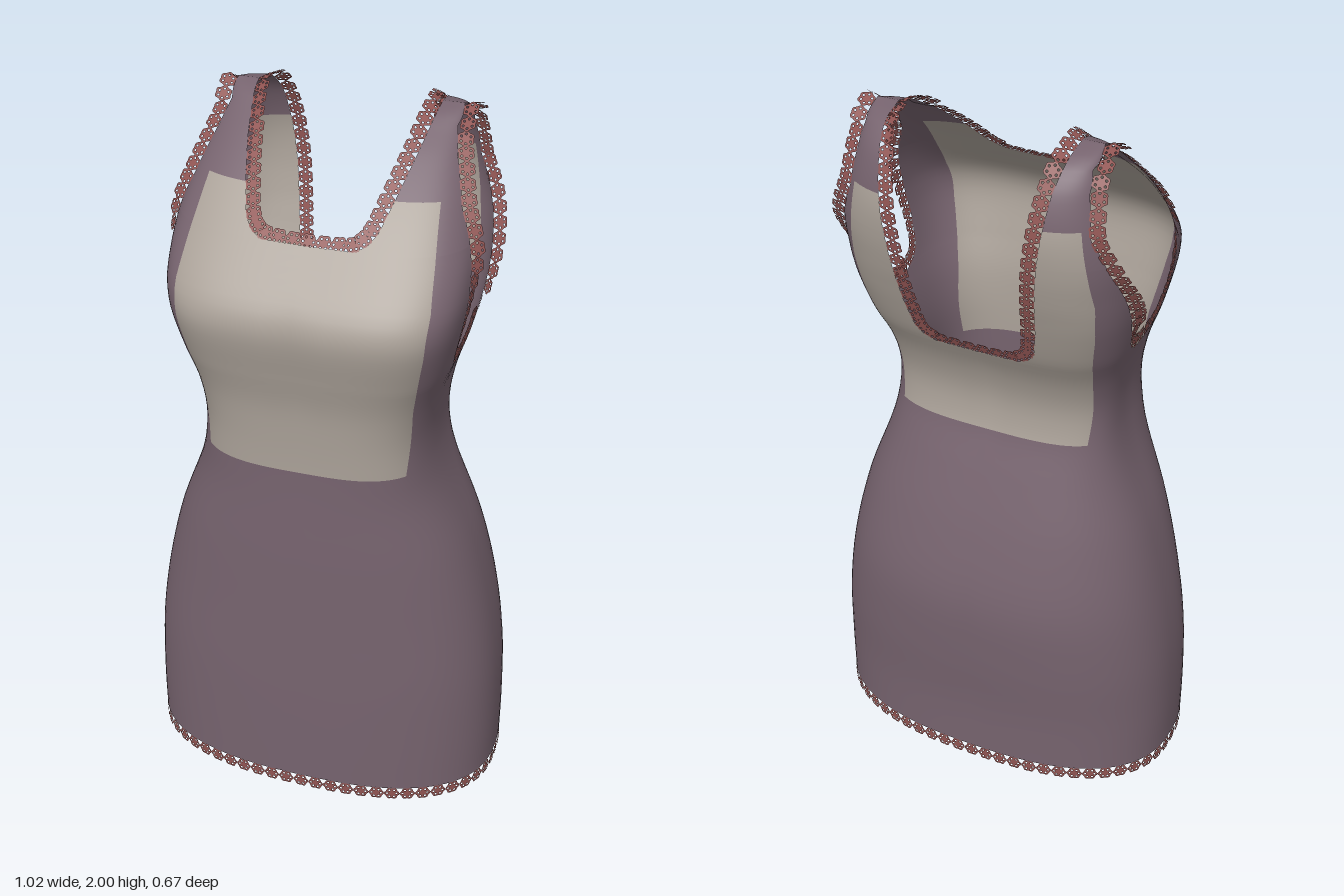
import * as THREE from 'three';
import { mergeGeometries, mergeVertices } from 'three/addons/utils/BufferGeometryUtils.js';

// Body sections: height, half width, front z, back z, middle z, squareness
const SECTIONS = [
  [0, .51, .305, -.31, 0, 2.5], [.2, .51, .305, -.312, 0, 2.5], [.4, .50, .304, -.325, 0, 2.5],
  [.6, .47, .30, -.325, 0, 2.5], [.8, .42, .297, -.28, 0, 2.6], [1, .345, .29, -.215, 0, 2.9],
  [1.1, .32, .288, -.18, 0, 3.2], [1.2, .315, .29, -.17, 0, 3.3], [1.3, .33, .297, -.195, 0, 3.5],
  [1.4, .36, .318, -.245, 0, 3.7], [1.5, .382, .338, -.28, 0, 3.9], [1.55, .39, .336, -.295, 0, 3.9],
  [1.6, .395, .312, -.31, 0, 3.8], [1.7, .393, .225, -.33, -.04, 3.6], [1.8, .368, .132, -.333, -.08, 3.5],
  [1.9, .332, .02, -.305, -.13, 3.5], [1.95, .315, -.055, -.265, -.15, 3.5],
  [1.975, .306, -.1, -.22, -.15, 3.5], [1.987, .30, -.15, -.15, -.15, 3.5],
];
// Armhole edge: height, front z, back z
const ARM = [[1.37, 0, 0], [1.375, .06, -.04], [1.39, .1, -.07], [1.42, .125, -.095], [1.5, .137, -.13],
  [1.6, .122, -.185], [1.7, .09, -.245], [1.8, .05, -.275], [1.9, -.035, -.25], [1.95, -.09, -.22], [1.987, -.15, -.15]];
// Neckline half width against height, front and back
const NECK_FRONT = [[1.719, 0], [1.72, .12], [1.735, .15], [1.76, .17], [1.82, .192], [1.9, .218], [1.987, .242]];
const NECK_BACK = [[1.379, 0], [1.38, .115], [1.395, .145], [1.42, .165], [1.5, .18], [1.7, .2], [1.9, .225], [1.987, .242]];
// Edge of the pale panel
const SEAM = [[0, .43], [.6, .4], [1, .29], [1.1, .27], [1.3, .285], [1.5, .322], [1.6, .33], [1.7, .318], [1.82, .3], [1.987, .27]];
const PANEL = [1.1, 1.82];

const clamp = THREE.MathUtils.clamp;

function locate(table, y) {
  let i = 0;
  while (i < table.length - 2 && y > table[i + 1][0]) i++;
  return [i, clamp((y - table[i][0]) / (table[i + 1][0] - table[i][0]), 0, 1)];
}
function linear(table, y, k = 1) {
  const [i, t] = locate(table, y);
  return table[i][k] + (table[i + 1][k] - table[i][k]) * t;
}
// Smooth cubic interpolation of a section value
function smooth(y, k) {
  const T = SECTIONS, [i, t] = locate(T, y), h = T[i + 1][0] - T[i][0];
  const slope = j => {
    const a = T[Math.max(j - 1, 0)], b = T[Math.min(j + 1, T.length - 1)];
    return (b[k] - a[k]) / (b[0] - a[0]);
  };
  const t2 = t * t, t3 = t2 * t;
  return T[i][k] * (2 * t3 - 3 * t2 + 1) + T[i + 1][k] * (3 * t2 - 2 * t3)
    + h * (slope(i) * (t3 - 2 * t2 + t) + slope(i + 1) * (t3 - t2));
}

// One half section (front or back, +x side) with its neck, seam and armhole angles
function section(y, front) {
  const w = smooth(y, 1), zc = smooth(y, 4), n = smooth(y, 5), p = 2 / n;
  const d = smooth(y, front ? 2 : 3) - zc;
  const fromX = x => Math.asin(Math.pow(clamp(x / w, 0, 1), 1 / p));
  const ratio = Math.abs(d) < 1e-4 ? 0 : clamp((linear(ARM, y, front ? 1 : 2) - zc) / d, 0, 1);
  const outer = Math.acos(Math.pow(ratio, 1 / p));
  const inner = Math.min(fromX(linear(front ? NECK_FRONT : NECK_BACK, y)), outer);
  const seam = clamp(fromX(linear(SEAM, y)), inner, outer);
  const at = a => new THREE.Vector3(w * Math.pow(Math.max(Math.sin(a), 0), p), y,
    zc + d * Math.pow(Math.max(Math.cos(a), 0), p));
  return { inner, seam, outer, at };
}

function heights() {
  const ys = [];
  const run = (a, b, n) => { for (let i = 0; i < n; i++) ys.push(a + (b - a) * i / n); };
  run(.042, 1.1, 26); run(1.1, 1.37, 9);
  ys.push(1.37, 1.372, 1.375, 1.379, 1.38, 1.387, 1.395, 1.407);
  run(1.42, 1.7, 12);
  ys.push(1.7, 1.719, 1.72, 1.727, 1.735, 1.747, 1.76, 1.775, 1.79, 1.805);
  run(1.82, 1.95, 8);
  ys.push(1.95, 1.963, 1.975, 1.981, 1.985, 1.987);
  return ys;
}

// Whole garment as one smooth sheet with two colour groups
function garmentGeometry() {
  const ys = heights(), pos = [], main = [], pale = [], A = 16, B = 10, cols = A + B + 1;
  for (const front of [true, false]) for (const sx of [1, -1]) {
    const base = pos.length / 3;
    ys.forEach(y => {
      const s = section(y, front);
      for (let c = 0; c < cols; c++) {
        const a = c <= A ? s.inner + (s.seam - s.inner) * c / A : s.seam + (s.outer - s.seam) * (c - A) / B;
        const v = s.at(a);
        pos.push(v.x * sx, v.y, v.z);
      }
    });
    const flip = front !== (sx > 0);
    for (let r = 0; r < ys.length - 1; r++) for (let c = 0; c < cols - 1; c++) {
      const a = base + r * cols + c, b = a + 1, d = a + cols, e = d + 1;
      const mid = (ys[r] + ys[r + 1]) / 2;
      const list = c < A && mid > PANEL[0] && mid < PANEL[1] ? pale : main;
      list.push(...(flip ? [a, d, b, b, d, e] : [a, b, d, b, e, d]));
    }
  }
  let g = new THREE.BufferGeometry();
  g.setAttribute('position', new THREE.Float32BufferAttribute(pos, 3));
  g.setIndex([...main, ...pale]);
  g = mergeVertices(g, 1e-5);
  g.addGroup(0, main.length, 0);
  g.addGroup(main.length, pale.length, 1);
  g.computeVertexNormals();
  return g;
}

// Lace motif: flat lobed rosette with pierced holes, rooted at the origin, pointing along +y
function motifGeometry() {
  const ring = (cx, cy, r, lobes, n) => Array.from({ length: n }, (_, i) => {
    const a = i / n * Math.PI * 2, k = r * (1 + lobes * Math.cos(6 * a));
    return new THREE.Vector2(cx + k * Math.cos(a), cy + k * Math.sin(a));
  });
  const shape = new THREE.Shape(ring(0, .02, .021, .08, 36));
  for (let i = 0; i < 6; i++) {
    const a = Math.PI * i / 3;
    shape.holes.push(new THREE.Path(ring(.0135 * Math.cos(a), .02 + .0135 * Math.sin(a), .0032, 0, 6)));
  }
  return new THREE.ShapeGeometry(shape);
}
// Row of motifs along a closed edge; dirAt gives the way each one points
function laceGeometry(points, spacing, dirAt) {
  const curve = new THREE.CatmullRomCurve3(points, true, 'centripetal');
  curve.arcLengthDivisions = 800;
  const count = Math.round(curve.getLength() / spacing), motif = motifGeometry(), parts = [];
  for (let i = 0; i < count; i++) {
    const p = curve.getPointAt(i / count), t = curve.getTangentAt(i / count);
    const dir = dirAt(p);
    dir.addScaledVector(t, -dir.dot(t)).normalize();
    const m = new THREE.Matrix4().makeBasis(t, dir, t.clone().cross(dir)).setPosition(p);
    parts.push(motif.clone().applyMatrix4(m));
  }
  return mergeGeometries(parts);
}

const mirrorX = v => new THREE.Vector3(-v.x, v.y, v.z);
const edge = (ys, front, key) => ys.map(y => { const s = section(y, front); return s.at(s[key]); });

export function createModel() {
  const model = new THREE.Group();
  model.name = 'dress';
  const mat = (name, color) => {
    const m = new THREE.MeshStandardMaterial({ color, side: THREE.DoubleSide });
    m.name = name;
    return m;
  };
  const mauve = mat('mauve fabric', 0x76636e), stone = mat('stone panel', 0xaaa198), lace = mat('red lace', 0x905452);
  const add = (name, geometry, material) => {
    const mesh = new THREE.Mesh(geometry, material);
    mesh.name = name;
    model.add(mesh);
  };

  add('dressBody', garmentGeometry(), [mauve, stone]);

  // Hem lace hangs down from the skirt
  const f = section(.042, true), b = section(.042, false), hem = [];
  for (let i = 0; i < 96; i++) {
    const a = i / 96 * Math.PI * 2, q = Math.asin(Math.abs(Math.sin(a)));
    const v = (Math.cos(a) >= 0 ? f : b).at(q);
    hem.push(Math.sin(a) < 0 ? mirrorX(v) : v);
  }
  add('hemLace', laceGeometry(hem, .045, () => new THREE.Vector3(0, -1, 0)), lace);

  // Neck lace points into the neck opening
  const up = [1.72, 1.735, 1.76, 1.82, 1.88, 1.93, 1.963, 1.983];
  const down = [1.983, 1.963, 1.93, 1.88, 1.8, 1.7, 1.6, 1.5, 1.42, 1.395, 1.38];
  const half = [...edge(up, true, 'inner'), ...edge(down, false, 'inner')];
  const neck = [...half, ...half.map(mirrorX).reverse()];
  add('neckLace', laceGeometry(neck, .04, p => Math.abs(p.x) < .135
    ? new THREE.Vector3(0, .7, p.z > 0 ? -.7 : -.3)
    : new THREE.Vector3(-Math.sign(p.x), p.y > 1.93 ? .45 : .15, 0)), lace);

  // Armhole lace points into the opening below and flares sideways higher up, sooner at the back
  const rise = [1.37, 1.375, 1.39, 1.42, 1.5, 1.6, 1.7, 1.8, 1.88, 1.93, 1.963, 1.983];
  const arm = [...edge(rise, true, 'outer'), ...edge(rise.slice(1).reverse(), false, 'outer')];
  for (const [name, sx] of [['leftArmholeLace', 1], ['rightArmholeLace', -1]]) {
    const pts = sx > 0 ? arm : arm.map(mirrorX);
    add(name, laceGeometry(pts, .04, p => {
      const d = new THREE.Vector3(0, 1.65 - p.y, -.07 - p.z).normalize();
      const [low, high] = p.z > -.03 ? [1.6, 1.85] : [1.42, 1.72];
      d.x = sx * (.1 + 2.9 * THREE.MathUtils.smoothstep(p.y, low, high));
      if (p.y > 1.93) d.y += 1.6;
      return d;
    }), lace);
  }
  return model;
}
